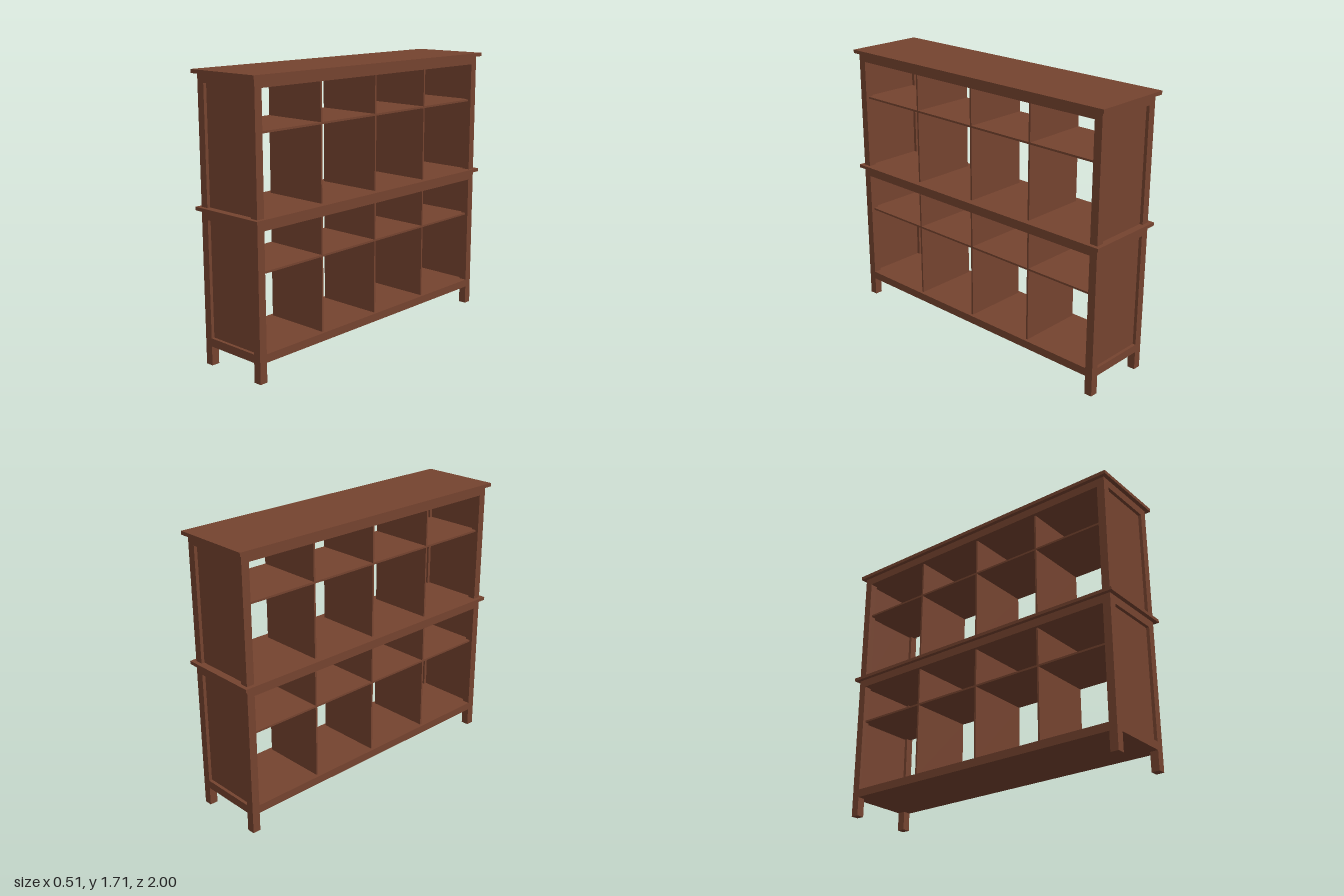
import * as THREE from 'three';

export function createModel() {
  const model = new THREE.Group();
  model.name = 'bookcase';
  const wood = new THREE.MeshStandardMaterial({ color: 0x75432f });
  wood.name = 'brown wood';

  // Box given by its lower and upper limits on each axis
  function box(parent, name, x0, x1, y0, y1, z0, z1) {
    const mesh = new THREE.Mesh(new THREE.BoxGeometry(x1 - x0, y1 - y0, z1 - z0), wood);
    mesh.name = name;
    mesh.position.set((x0 + x1) / 2, (y0 + y1) / 2, (z0 + z1) / 2);
    parent.add(mesh);
  }

  const X = 0.232, Z = 0.975, POST = 0.05; // carcass half sizes and post width
  const xi = X - POST, zi = Z - POST;
  const inset = 0.02, board = 0.012;

  // One storey: posts from y0, open bays from floor to ceiling, slab up to top
  function storey(name, y0, floor, ceiling, top, shelfY) {
    const g = new THREE.Group();
    g.name = name;
    model.add(g);

    for (const sz of [-1, 1]) {
      const ends = (a, b) => (sz > 0 ? [a, b] : [-b, -a]);
      // Corner posts, running down into the feet on the lower storey
      box(g, 'post', -X, -xi, y0, top, ...ends(zi, Z));
      box(g, 'post', xi, X, y0, top, ...ends(zi, Z));
      // End rail and recessed end panel
      box(g, 'endTopRail', -xi, xi, ceiling, top, ...ends(zi, Z));
      if (floor > y0) box(g, 'endBottomRail', -xi, xi, floor - POST, floor, ...ends(zi, Z));
      box(g, 'endPanel', -xi, xi, floor, ceiling, ...ends(zi + inset, Z - inset));
    }

    // Ceiling slab and, where the storey has feet, the floor slab
    box(g, 'ceilingSlab', -X, X, ceiling, top, -zi, zi);
    if (floor > y0) box(g, 'floorSlab', -X, X, floor - POST, floor, -zi, zi);

    // Shelf and upright dividers, set back from the frame
    const d = X - inset;
    box(g, 'shelf', -d, d, shelfY - board / 2, shelfY + board / 2, -zi, zi);
    for (const sz of [-1, 1]) {
      const [a, b] = sz > 0 ? [zi, zi + inset] : [-zi - inset, -zi];
      box(g, 'shelfEnd', -xi, xi, shelfY - board / 2, shelfY + board / 2, a, b);
    }
    for (const z of [-0.46, 0, 0.46]) {
      box(g, 'lowerDivider', -d, d, floor, shelfY - board / 2, z - board / 2, z + board / 2);
      box(g, 'upperDivider', -d, d, shelfY + board / 2, ceiling, z - board / 2, z + board / 2);
    }
  }

  storey('lowerStorey', 0, 0.167, 0.87, 0.92, 0.63);
  storey('upperStorey', 0.94, 0.94, 1.64, 1.69, 1.402);

  // Overhanging boards
  box(model, 'middleBoard', -0.257, 0.257, 0.92, 0.94, -1, 1);
  box(model, 'topBoard', -0.257, 0.257, 1.69, 1.712, -1, 1);

  return model;
}
